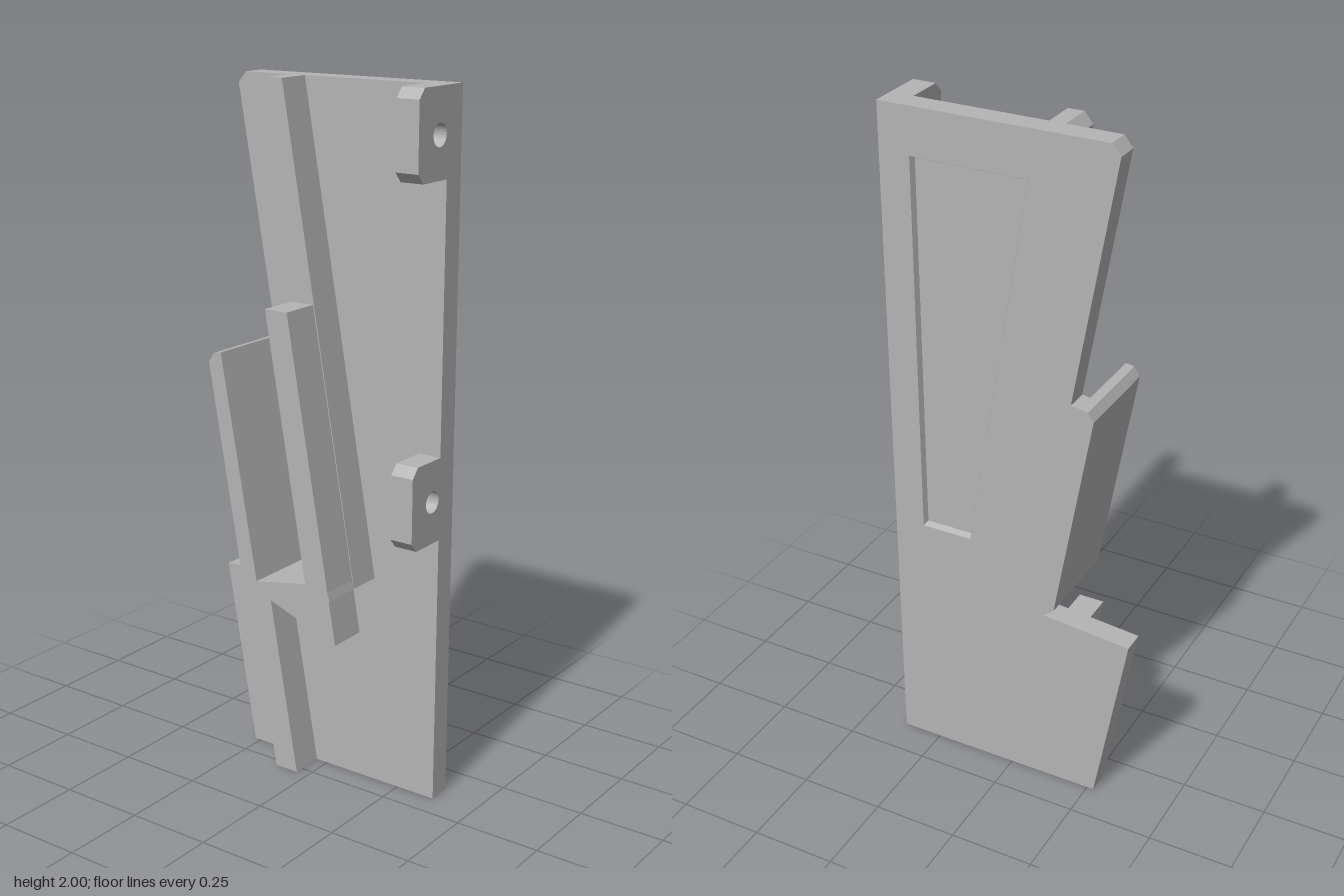
import * as THREE from 'three';

const grey = new THREE.MeshStandardMaterial({ color: 0xb4b4b4 });
grey.name = 'plain grey';

const toShape = (pts) => new THREE.Shape(pts.map(([a, b]) => new THREE.Vector2(a, b)));

function addMesh(parent, name, geometry) {
  const mesh = new THREE.Mesh(geometry, grey);
  mesh.name = name;
  parent.add(mesh);
  return mesh;
}

// Side profile given as [z, y] points, extruded along x from x0 to x1
function slab(profile, x0, x1, hole) {
  const shape = toShape(profile);
  if (hole) shape.holes.push(toShape(hole));
  const g = new THREE.ExtrudeGeometry(shape, { depth: x1 - x0, bevelEnabled: false });
  return g.rotateY(-Math.PI / 2).translate(x1, 0, 0);
}

// Drafted walls between the rim and the floor of the recess
function recessWalls(rim, floor, xRim, xFloor) {
  const pos = [];
  for (let i = 0; i < rim.length; i++) {
    const j = (i + 1) % rim.length;
    const a = [xRim, rim[i][1], rim[i][0]];
    const b = [xRim, rim[j][1], rim[j][0]];
    const c = [xFloor, floor[j][1], floor[j][0]];
    const d = [xFloor, floor[i][1], floor[i][0]];
    pos.push(...a, ...b, ...c, ...a, ...c, ...d);
  }
  const g = new THREE.BufferGeometry();
  g.setAttribute('position', new THREE.Float32BufferAttribute(pos, 3));
  g.computeVertexNormals();
  return g;
}

export function createModel() {
  const model = new THREE.Group();
  model.name = 'slantedBracket';

  const outer = 0.142, inner = 0.075, left = -0.143, railX = -0.026;

  // Side plate with a shallow drafted recess on its outer face
  const outline = [
    [0.37, 0], [0.37, 2], [-0.28, 2], [-0.305, 1.97], [-0.181, 1.27], [-0.23, 1.262],
    [-0.247, 1.235], [-0.135, 0.6], [-0.105, 0.575], [-0.367, 0.55], [-0.27, 0],
  ];
  const rim = [[0.28, 0.76], [0.28, 1.868], [-0.058, 1.868], [0.128, 0.76]];
  const floor = [[0.274, 0.768], [0.274, 1.86], [-0.048, 1.86], [0.135, 0.768]];
  const recess = outer - 0.017;
  addMesh(model, 'sidePlate', slab(outline, inner, recess));
  addMesh(model, 'sidePlateFace', slab(outline, recess, outer, rim));
  const walls = addMesh(model, 'recessWalls', recessWalls(rim, floor, outer, recess));
  // Turn the walls so they face into the recess
  const n = walls.geometry.attributes.normal;
  if (n.getZ(0) > 0) {
    const p = walls.geometry.attributes.position;
    for (let i = 0; i < p.count; i += 3) {
      const b = [p.getX(i + 1), p.getY(i + 1), p.getZ(i + 1)];
      p.setXYZ(i + 1, p.getX(i + 2), p.getY(i + 2), p.getZ(i + 2));
      p.setXYZ(i + 2, ...b);
    }
    walls.geometry.computeVertexNormals();
  }

  // Slanted rails on the inner face
  addMesh(model, 'upperRail', slab([
    [-0.08, 2], [-0.125, 2], [-0.15, 1.97], [0.087, 0.612], [0.162, 0.625],
  ], railX, inner));
  addMesh(model, 'lowerRail', slab([
    [-0.135, 0.55], [-0.21, 0.55], [-0.113, 0], [-0.038, 0],
  ], railX, inner));

  // Holder: back panel, floor and front wall
  addMesh(model, 'holderBackPanel', slab([
    [-0.205, 1.267], [-0.23, 1.262], [-0.247, 1.235], [-0.135, 0.6],
    [-0.105, 0.575], [-0.08, 0.58],
  ], left, inner));
  addMesh(model, 'holderFloor', slab([
    [-0.105, 0.575], [0.162, 0.625], [0.15, 0.67], [-0.1, 0.624],
  ], left, inner));
  addMesh(model, 'holderFrontWall', slab([
    [0.021, 1.408], [-0.051, 1.408], [0.087, 0.62], [-0.05, 0.585], [0.182, 0.5],
  ], left, railX));

  // Mounting tabs with a screw hole
  for (const [name, y0, y1, holeY] of [
    ['upperTab', 1.762, 2, 1.878], ['lowerTab', 0.783, 1.018, 0.902],
  ]) {
    const shape = toShape([
      [inner, y0], [inner, y1], [-0.035, y1], [-0.059, y1 - 0.027],
      [-0.059, y0 + 0.027], [-0.035, y0],
    ]);
    shape.holes.push(new THREE.Path().absarc(0.039, holeY, 0.031, 0, Math.PI * 2, true));
    const g = new THREE.ExtrudeGeometry(shape, { depth: 0.068, bevelEnabled: false, curveSegments: 24 });
    addMesh(model, name, g.translate(0, 0, 0.302));
  }
  return model;
}
